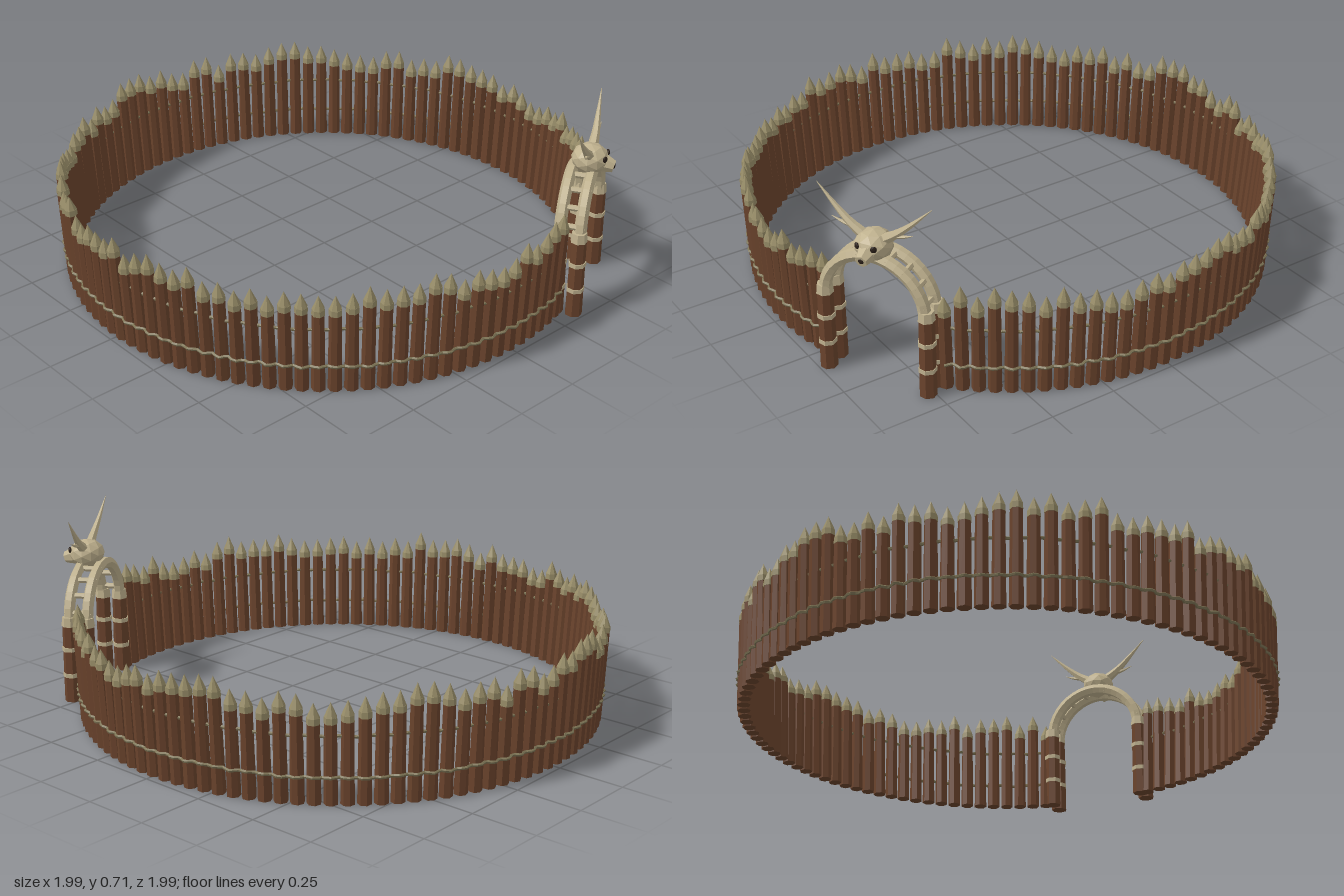
import * as THREE from 'three';

const mat = (name, color) => {
  const m = new THREE.MeshStandardMaterial({ color });
  m.name = name;
  return m;
};

// Faceted normals for a low-poly look
function flat(geometry) {
  const g = geometry.index ? geometry.toNonIndexed() : geometry;
  g.computeVertexNormals();
  return g;
}

// Tube along a smooth path whose radius runs from r0 to r1
function taperedTube(points, r0, r1, segments, sides) {
  const curve = new THREE.CatmullRomCurve3(points.map(p => new THREE.Vector3(...p)));
  const g = new THREE.TubeGeometry(curve, segments, 1, sides, false);
  const pos = g.attributes.position;
  const v = new THREE.Vector3();
  for (let i = 0; i < pos.count; i++) {
    const t = Math.floor(i / (sides + 1)) / segments;
    const c = curve.getPointAt(t);
    v.fromBufferAttribute(pos, i).sub(c).multiplyScalar(r0 + (r1 - r0) * t).add(c);
    pos.setXYZ(i, v.x, v.y, v.z);
  }
  return flat(g);
}

export function createModel() {
  const wood = mat('brown wood', 0x6a432c);
  const cut = mat('sharpened wood', 0x988d68);
  const rope = mat('rope', 0x7d7455);
  const bone = mat('bone', 0xbfb18e);
  const dark = mat('dark hollow', 0x2b2019);

  const model = new THREE.Group();
  model.name = 'palisade';
  const add = (parent, name, geometry, material, x = 0, y = 0, z = 0) => {
    const m = new THREE.Mesh(geometry, material);
    m.name = name;
    m.position.set(x, y, z);
    parent.add(m);
    return m;
  };

  let seed = 17;
  const rand = () => (seed = (seed * 16807) % 2147483647) / 2147483647;

  // Ring of sharpened logs, leaning slightly outward, with a gap for the gate
  const COUNT = 102;
  const START = THREE.MathUtils.degToRad(43.5);
  const END = THREE.MathUtils.degToRad(376.5);
  const STEP = (END - START) / (COUNT - 1);
  const BASE = 0.957, LEAN = 0.05;
  const logGeo = flat(new THREE.CylinderGeometry(0.022, 0.025, 1, 7));
  const collarGeo = flat(new THREE.CylinderGeometry(0.0225, 0.0235, 0.022, 7));
  const tipGeo = flat(new THREE.ConeGeometry(0.0225, 0.052, 7));
  const fence = new THREE.Group();
  fence.name = 'logRing';
  model.add(fence);
  for (let i = 0; i < COUNT; i++) {
    const a = START + i * STEP;
    const h = 0.295 + 0.05 * rand() + 0.012 * Math.sin(i * 0.45);
    const stake = new THREE.Group();
    stake.name = 'stake';
    stake.position.set(BASE * Math.cos(a), 0, -BASE * Math.sin(a));
    stake.rotation.set(0, a, -LEAN + (rand() - 0.5) * 0.012);
    add(stake, 'log', logGeo, wood, 0, h / 2, 0).scale.y = h;
    add(stake, 'collar', collarGeo, cut, 0, h + 0.01, 0);
    add(stake, 'tip', tipGeo, cut, 0, h + 0.046, 0);
    fence.add(stake);
  }

  // Ropes: the lower one bulges over each log, the upper one threads the gaps
  function ropeLine(name, y, rLog, rGap, radius) {
    const pts = [];
    for (let i = 0; i <= 2 * (COUNT - 1); i++) {
      const a = START + (i * STEP) / 2;
      const r = i % 2 ? rGap : rLog;
      pts.push([r * Math.cos(a), y + (rand() - 0.5) * 0.006, -r * Math.sin(a)]);
    }
    add(model, name, taperedTube(pts, radius, radius, 404, 5), rope);
  }
  ropeLine('lowerRope', 0.1, 0.988, 0.975, 0.006);
  ropeLine('upperRope', 0.24, 0.972, 0.968, 0.006);

  // Gate: local x points outward, local z runs along the opening
  const gate = new THREE.Group();
  gate.name = 'gate';
  const ga = Math.PI / 6;
  gate.position.set(0.968 * Math.cos(ga), 0, -0.968 * Math.sin(ga));
  gate.rotation.y = ga;
  model.add(gate);

  const postGeo = flat(new THREE.CylinderGeometry(0.028, 0.031, 0.31, 7));
  const bandGeo = flat(new THREE.CylinderGeometry(0.0325, 0.0325, 0.016, 7));
  const socketGeo = flat(new THREE.CylinderGeometry(0.027, 0.031, 0.035, 7));
  const ARCH_Y = 0.3, ARCH_R = 0.19;
  for (const side of [-1, 1]) {
    // Rails of the arch with their paired posts
    const pts = [];
    for (let i = 0; i <= 10; i++) {
      const t = (Math.PI * i) / 10;
      pts.push([side * 0.036, ARCH_Y + ARCH_R * Math.sin(t), ARCH_R * Math.cos(t)]);
    }
    add(gate, 'archRail', taperedTube(pts, 0.022, 0.022, 20, 6), bone);
    for (const end of [-1, 1]) {
      const x = side * 0.034, z = end * 0.192;
      add(gate, 'post', postGeo, wood, x, 0.155, z);
      add(gate, 'postSocket', socketGeo, bone, x, 0.315, z);
      for (const y of [0.105, 0.208]) add(gate, 'postBand', bandGeo, bone, x, y, z);
    }
  }

  // Cross rungs joining the two rails
  const rungGeo = flat(new THREE.CylinderGeometry(0.011, 0.011, 0.105, 6).rotateZ(Math.PI / 2));
  for (const deg of [14, 34, 54, 74, 106, 126, 146, 166]) {
    const t = THREE.MathUtils.degToRad(deg);
    add(gate, 'rung', rungGeo, bone, 0, ARCH_Y + ARCH_R * Math.sin(t), ARCH_R * Math.cos(t));
  }

  // Horned skull on top of the arch, facing outward
  const skull = new THREE.Group();
  skull.name = 'skull';
  skull.position.set(0.022, 0.53, 0);
  gate.add(skull);
  const cranium = flat(new THREE.IcosahedronGeometry(1, 1).scale(0.068, 0.055, 0.066));
  add(skull, 'cranium', cranium, bone);
  const snout = flat(new THREE.CylinderGeometry(0.022, 0.045, 0.075, 7).rotateZ(-Math.PI / 2));
  add(skull, 'snout', snout, bone, 0.05, -0.012, 0).rotation.z = -0.25;
  const hollow = flat(new THREE.IcosahedronGeometry(1, 1).scale(0.006, 0.012, 0.011));
  add(skull, 'noseHollow', hollow, dark, 0.085, -0.018, 0);
  for (const s of [-1, 1]) {
    add(skull, 'eyeHollow', hollow, dark, 0.057, 0.016, s * 0.031).rotation.y = -s * 0.5;
    add(skull, 'horn', taperedTube(
      [[0, 0.025, s * 0.035], [0, 0.058, s * 0.085], [-0.004, 0.1, s * 0.135], [-0.01, 0.175, s * 0.212]],
      0.02, 0.001, 10, 6), bone);
    add(skull, 'hornSpur', taperedTube(
      [[0, 0.05, s * 0.075], [0.004, 0.056, s * 0.11], [0.008, 0.072, s * 0.15]],
      0.011, 0.001, 5, 5), bone);
  }
  return model;
}
